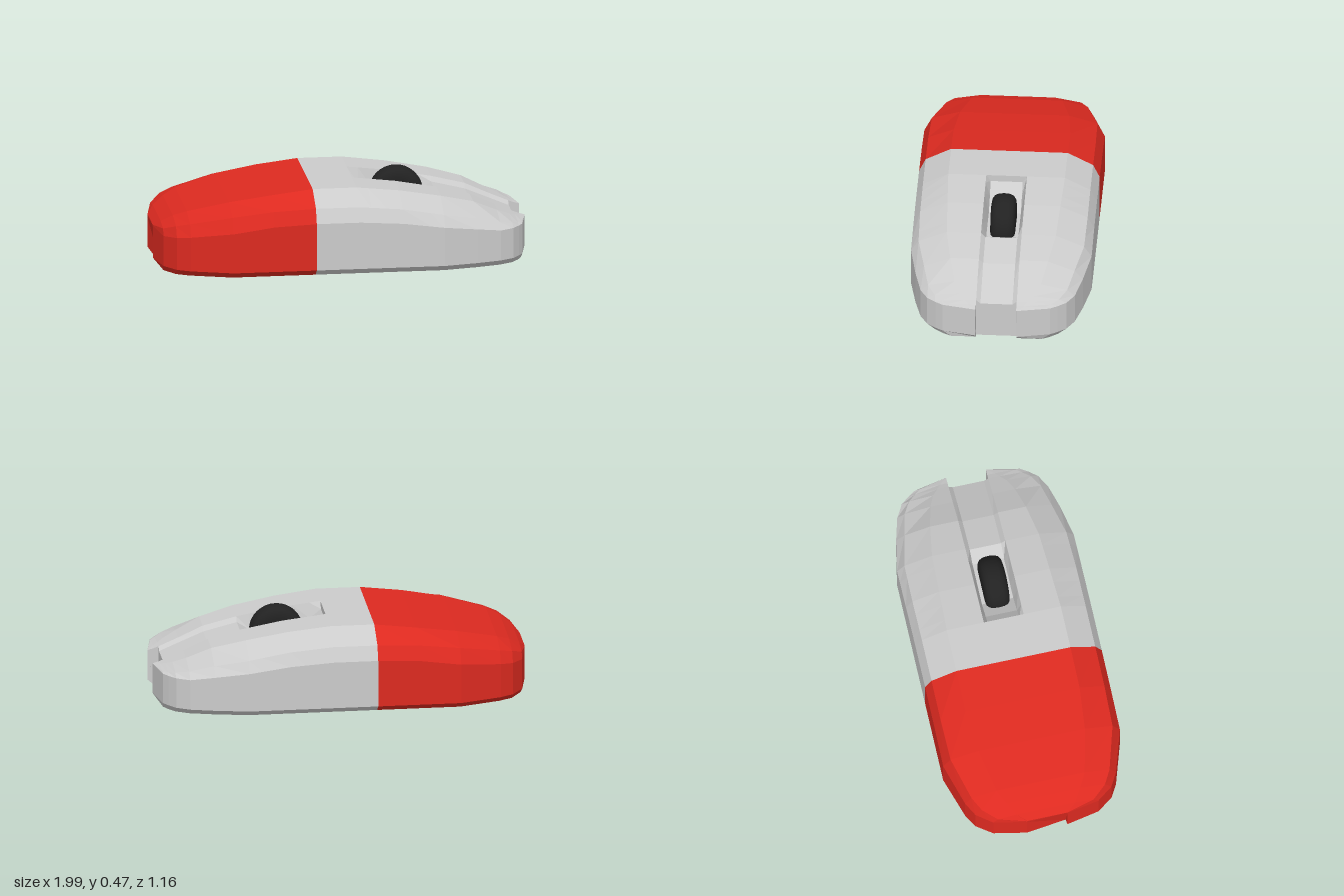
import * as THREE from 'three';

// Hull stations along the length: u, half width, wall top, shoulder (half width, y), crown (half width, y)
const STATIONS = [
  [-0.995, 0.11, 0.2, 0.11, 0.21, 0.108, 0.215],
  [-0.96, 0.285, 0.2, 0.26, 0.235, 0.16, 0.25],
  [-0.9, 0.37, 0.21, 0.335, 0.265, 0.2, 0.29],
  [-0.83, 0.41, 0.22, 0.375, 0.285, 0.24, 0.32],
  [-0.61, 0.48, 0.25, 0.44, 0.33, 0.29, 0.375],
  [-0.39, 0.48, 0.28, 0.445, 0.355, 0.31, 0.41],
  [-0.166, 0.48, 0.29, 0.445, 0.365, 0.31, 0.437],
  [0.07, 0.48, 0.29, 0.445, 0.365, 0.31, 0.437],
  [0.3, 0.48, 0.275, 0.445, 0.345, 0.3, 0.41],
  [0.52, 0.48, 0.245, 0.44, 0.305, 0.29, 0.37],
  [0.7, 0.445, 0.22, 0.4, 0.27, 0.26, 0.325],
  [0.83, 0.41, 0.2, 0.37, 0.235, 0.23, 0.265],
  [0.9, 0.37, 0.2, 0.33, 0.22, 0.2, 0.235],
  [0.935, 0.325, 0.2, 0.29, 0.21, 0.17, 0.22],
  [0.96, 0.285, 0.2, 0.26, 0.205, 0.15, 0.21],
  [0.995, 0.11, 0.2, 0.11, 0.2, 0.108, 0.2],
];
// Channel floor height along the length, dipping under the wheel
const FLOOR = [[0.07, 0.4], [0.13, 0.35], [0.22, 0.3], [0.45, 0.3], [0.52, 0.345],
  [0.7, 0.3], [0.83, 0.245], [0.9, 0.215], [0.935, 0.2]];
const SLOT = 0.108, SLOT_FLOOR = 0.085;

function sample(table, u) {
  let i = 0;
  while (i < table.length - 2 && table[i + 1][0] < u) i++;
  const a = table[i], b = table[i + 1], t = (u - a[0]) / (b[0] - a[0]);
  return a.map((v, k) => v + (b[k] - v) * t);
}

// Outer half section from the underside up to the crown edge, as [z, y]
function halfSection(u) {
  const [, w, yw, ws, ys, wt, yt] = sample(STATIONS, u);
  return [[Math.max(w - 0.045, SLOT), 0], [w, 0.035], [w, yw], [ws, ys], [wt, yt]];
}
const mirrored = (half) => [...half, ...half.map(([z, y]) => [-z, y]).reverse()];
const fullSection = (u) => mirrored(halfSection(u));
const slotSection = (u) => {
  const half = halfSection(u);
  return mirrored([...half, [SLOT, half[4][1]], [SLOT_FLOOR, sample(FLOOR, u)[1]]]);
};
const prongSection = (side) => (u) => {
  const half = halfSection(u);
  const ring = [[SLOT, 0], ...half, [SLOT, half[4][1]]];
  return side > 0 ? ring : ring.map(([z, y]) => [-z, y]).reverse();
};

// Skin closed sections along the length, with optional end caps
function loft(name, us, section, material, capStart, capEnd) {
  const rings = us.map((u) => section(u).map(([z, y]) =>
    [y === 0 ? THREE.MathUtils.clamp(u, -0.955, 0.955) : u, y, z]));
  const n = rings[0].length, pos = [], idx = [];
  rings.forEach((r) => r.forEach((p) => pos.push(...p)));
  for (let i = 0; i < rings.length - 1; i++) {
    for (let k = 0; k < n; k++) {
      const a = i * n + k, b = i * n + (k + 1) % n;
      idx.push(a, a + n, b, b, a + n, b + n);
    }
  }
  const cap = (i, flip) => {
    const contour = rings[i].map(([, y, z]) => new THREE.Vector2(z, y));
    for (const [a, b, c] of THREE.ShapeUtils.triangulateShape(contour, [])) {
      idx.push(i * n + a, i * n + (flip ? c : b), i * n + (flip ? b : c));
    }
  };
  if (capStart) cap(0, false);
  if (capEnd) cap(rings.length - 1, true);
  const geo = new THREE.BufferGeometry();
  geo.setAttribute('position', new THREE.Float32BufferAttribute(pos, 3));
  geo.setIndex(idx);
  const flat = geo.toNonIndexed();
  flat.computeVertexNormals();
  const mesh = new THREE.Mesh(flat, material);
  mesh.name = name;
  return mesh;
}

export function createModel() {
  const grey = new THREE.MeshStandardMaterial({ color: 0xcccccc, flatShading: true });
  const red = new THREE.MeshStandardMaterial({ color: 0xdd2a20, flatShading: true });
  const black = new THREE.MeshStandardMaterial({ color: 0x222222 });

  const body = new THREE.Group();
  body.name = 'mouseBody';

  // Shell: coloured palm rest, plain middle, slotted front and two button tips
  body.add(loft('palmRest', [-0.995, -0.96, -0.9, -0.83, -0.61, -0.39, -0.166], fullSection, red, true, false));
  body.add(loft('middleShell', [-0.166, 0.07], fullSection, grey, false, true));
  body.add(loft('frontShell', [0.07, 0.13, 0.22, 0.3, 0.45, 0.52, 0.7, 0.83, 0.9, 0.935], slotSection, grey, false, true));
  for (const side of [1, -1]) {
    body.add(loft(side > 0 ? 'buttonTipA' : 'buttonTipB', [0.935, 0.96, 0.995], prongSection(side), grey, false, true));
  }

  // Scroll wheel: rounded tyre on a crosswise axle
  const tyre = [[0, -0.066], [0.09, -0.066], [0.115, -0.062], [0.133, -0.05], [0.142, -0.03],
    [0.145, 0], [0.142, 0.03], [0.133, 0.05], [0.115, 0.062], [0.09, 0.066], [0, 0.066]];
  const wheel = new THREE.Mesh(
    new THREE.LatheGeometry(tyre.map(([r, y]) => new THREE.Vector2(r, y)), 32), black);
  wheel.name = 'scrollWheel';
  wheel.rotation.x = Math.PI / 2;
  wheel.position.set(0.32, 0.32, 0);
  body.add(wheel);

  // The whole body sits turned slightly on the table
  body.rotation.y = 0.198;
  body.position.z = -0.006;

  const model = new THREE.Group();
  model.name = 'computerMouse';
  model.add(body);
  return model;
}
